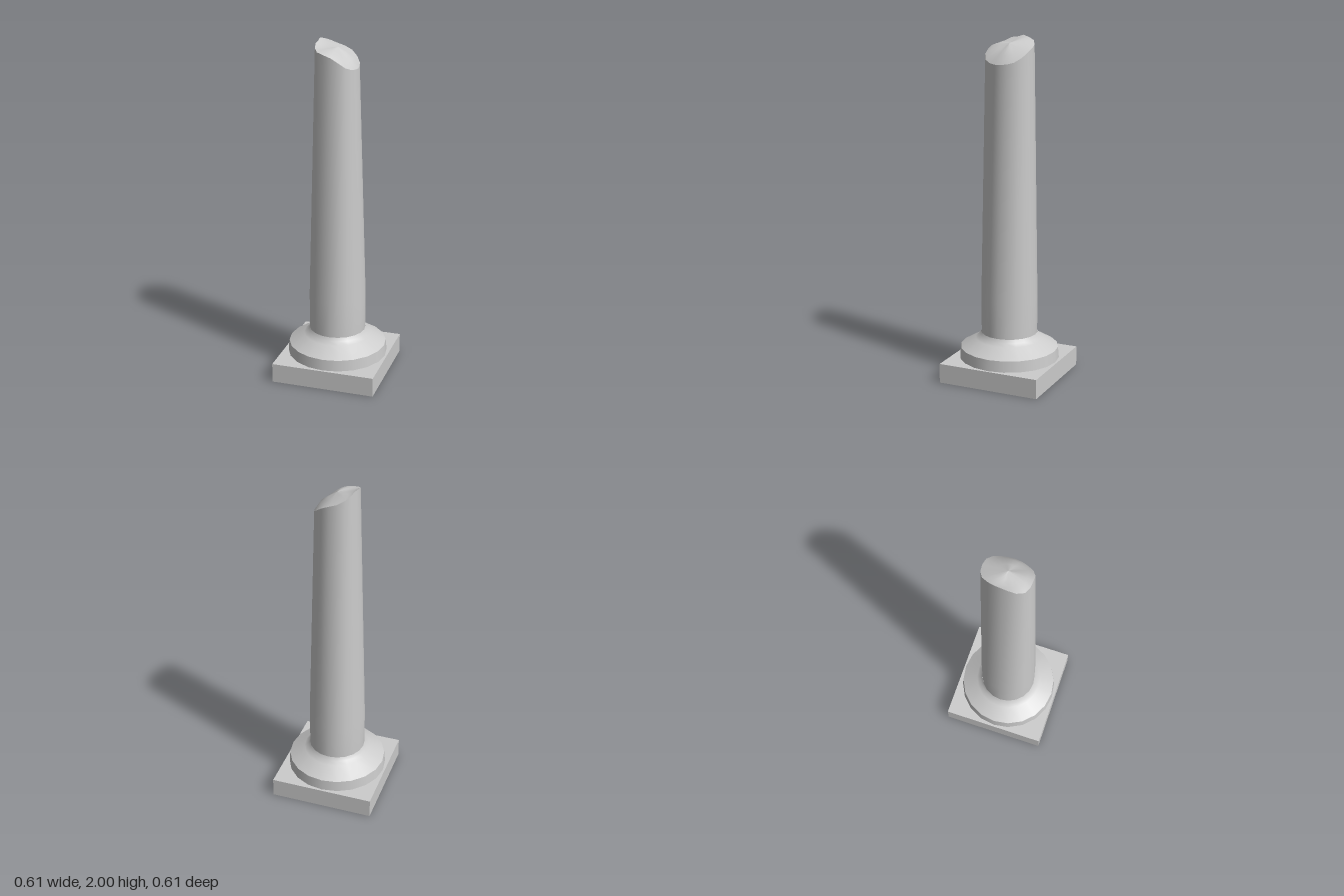
import * as THREE from 'three';

const SIDES = 20;
const material = new THREE.MeshStandardMaterial({ color: 0xcccccc, side: THREE.DoubleSide });

// Broken rim: [radius, height] around the shaft, from +x towards +z
const RIM = [
  [0.12, 1.85], [0.121, 1.85], [0.125, 1.855], [0.135, 1.87], [0.137, 1.9],
  [0.132, 1.925], [0.138, 1.94], [0.142, 1.95], [0.132, 1.965], [0.12, 1.985],
  [0.113, 1.99], [0.12, 2.0], [0.127, 1.99], [0.14, 1.975], [0.142, 1.955],
  [0.14, 1.94], [0.142, 1.92], [0.138, 1.89], [0.13, 1.865], [0.122, 1.855],
];

// Smooth skin over closed rings; each row maps a side number to [radius, height]
function skin(rows) {
  const points = [], index = [];
  rows.forEach((row, j) => {
    for (let i = 0; i < SIDES; i++) {
      const a = (i / SIDES) * Math.PI * 2;
      const [r, y] = row(i);
      points.push(r * Math.cos(a), y, r * Math.sin(a));
      if (j === 0) continue;
      const n = (i + 1) % SIDES, lo = (j - 1) * SIDES, hi = j * SIDES;
      index.push(lo + i, hi + i, lo + n, hi + i, hi + n, lo + n);
    }
  });
  const geometry = new THREE.BufferGeometry();
  geometry.setAttribute('position', new THREE.Float32BufferAttribute(points, 3));
  geometry.setIndex(index);
  geometry.computeVertexNormals();
  return geometry;
}

function lathe(profile) {
  return new THREE.LatheGeometry(profile.map(([r, y]) => new THREE.Vector2(r, y)), SIDES);
}

export function createModel() {
  const group = new THREE.Group();
  const add = (name, geometry) => {
    const mesh = new THREE.Mesh(geometry, material);
    mesh.name = name;
    group.add(mesh);
    return mesh;
  };

  // Square plinth, open underneath
  const box = new THREE.BoxGeometry(0.614, 0.115, 0.614);
  const faces = Array.from(box.index.array);
  faces.splice(18, 6);
  box.setIndex(faces);
  add('plinth', box).position.y = 0.0575;

  // Round foot: upright band, then a slope flaring up into the shaft
  add('footBand', lathe([[0.295, 0.115], [0.289, 0.18]]));
  add('footSlope', lathe([[0.289, 0.18], [0.2, 0.232], [0.178, 0.248], [0.166, 0.268]]));

  // Tapering shaft up to the broken rim
  add('shaft', skin([() => [0.165, 0.262], () => [0.166, 0.48], (i) => RIM[i]]));

  // Slanted, uneven fracture surface
  const ring = (scale, blend, bump) => (i) => {
    const a = (i / SIDES) * Math.PI * 2;
    const [r, y] = RIM[i];
    const raised = THREE.MathUtils.lerp(y, 1.962, blend) + bump * Math.cos(3 * a + 0.6);
    return [r * scale, Math.min(raised, 2)];
  };
  add('brokenTop', skin([ring(1, 0, 0), ring(0.75, 0.4, 0.005), ring(0.4, 0.7, 0.004), ring(0, 1, 0)]));

  return group;
}
